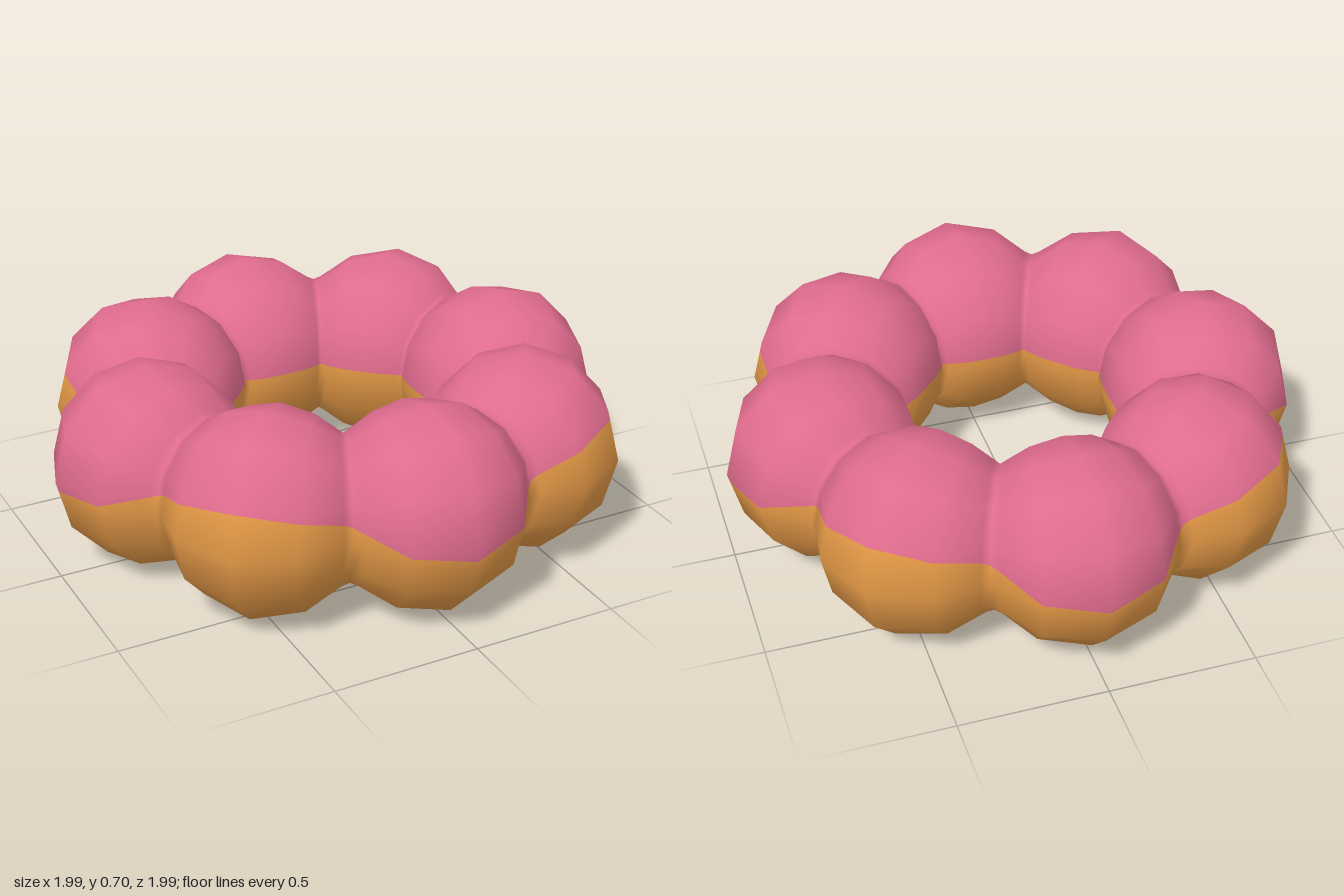
import * as THREE from 'three';

const BALLS = 8, MID = 0.35, RING = 0.67;
const rad = THREE.MathUtils.degToRad;

// Ring sections of one ball: [degrees from ball centre, outer radius, inner radius, half height]
const HALF = [[0, 0.997, 0.34, 0.35], [12.1, 0.951, 0.35, 0.315], [20.6, 0.856, 0.378, 0.25]];
const VALLEY = [22.5, 0.847, 0.39, 0.24];
const PROFILE = [
  ...HALF.slice(1).reverse().map(([d, ...r]) => [-d, ...r]), ...HALF, VALLEY,
];

// All sections around the ring, with the height of the glaze edge on each
function makeSections() {
  const list = [];
  for (let b = 0; b < BALLS; b++) {
    for (const [d, outer, inner, h] of PROFILE) {
      const phi = rad(b * 45 + d);
      const edge = 0.408 - 0.092 * Math.cos(4 * phi) - 0.008 * Math.cos(phi);
      list.push({
        phi, h, mid: (outer + inner) / 2, half: (outer - inner) / 2,
        anchor: d === 22.5 ? phi : rad(b * 45),
        aOut: 60 * (edge - MID) / h,
        aIn: 180 - 60 * 0.02 / h,
      });
    }
  }
  return list;
}

// Point on the twelve-sided cross-section at angle a (0 = outside, 90 = top)
function pointAt(s, a) {
  const k = Math.floor(a / 30), t = a / 30 - k;
  const mix = (f) => f(rad(k * 30)) * (1 - t) + f(rad(k * 30 + 30)) * t;
  const r = s.mid + s.half * mix(Math.cos);
  return new THREE.Vector3(r * Math.sin(s.phi), MID + s.h * mix(Math.sin), r * Math.cos(s.phi));
}

// Closed band around the ring; angles(s) lists the cross-section angles it spans
function makeBand(sections, angles) {
  const pos = [], nor = [], idx = [];
  const cols = angles(sections[0]).length, n = sections.length;
  sections.forEach((s, i) => {
    const r = s.anchor === s.phi && s.h === VALLEY[3] ? s.mid : RING;
    const centre = new THREE.Vector3(r * Math.sin(s.anchor), MID, r * Math.cos(s.anchor));
    angles(s).forEach((a, j) => {
      const p = pointAt(s, a);
      pos.push(p.x, p.y, p.z);
      nor.push(...p.sub(centre).normalize().toArray());
      if (j === cols - 1) return;
      const A = i * cols + j, B = ((i + 1) % n) * cols + j;
      idx.push(A, B, B + 1, A, B + 1, A + 1);
    });
  });
  const g = new THREE.BufferGeometry();
  g.setAttribute('position', new THREE.Float32BufferAttribute(pos, 3));
  g.setAttribute('normal', new THREE.Float32BufferAttribute(nor, 3));
  g.setIndex(idx);
  return g;
}

export function createModel() {
  const group = new THREE.Group();
  group.name = 'ballRingDonut';
  const glazePink = new THREE.MeshStandardMaterial({ color: 0xe06c8e });
  glazePink.name = 'glazePink';
  const doughBrown = new THREE.MeshStandardMaterial({ color: 0xe09645 });
  doughBrown.name = 'doughBrown';

  const sections = makeSections();
  const add = (name, material, angles) => {
    const mesh = new THREE.Mesh(makeBand(sections, angles), material);
    mesh.name = name;
    group.add(mesh);
  };

  // Glaze over the top, from the wavy outer edge to the inner wall
  add('glaze', glazePink, (s) => [s.aOut, Math.max(s.aOut, 0), 30, 60, 90, 120, 150, s.aIn]);
  // Dough below it
  add('dough', doughBrown, (s) => [
    s.aIn, 180, 210, 240, 270, 300, 330, 360 + Math.min(s.aOut, 0), 360 + s.aOut,
  ]);
  return group;
}
